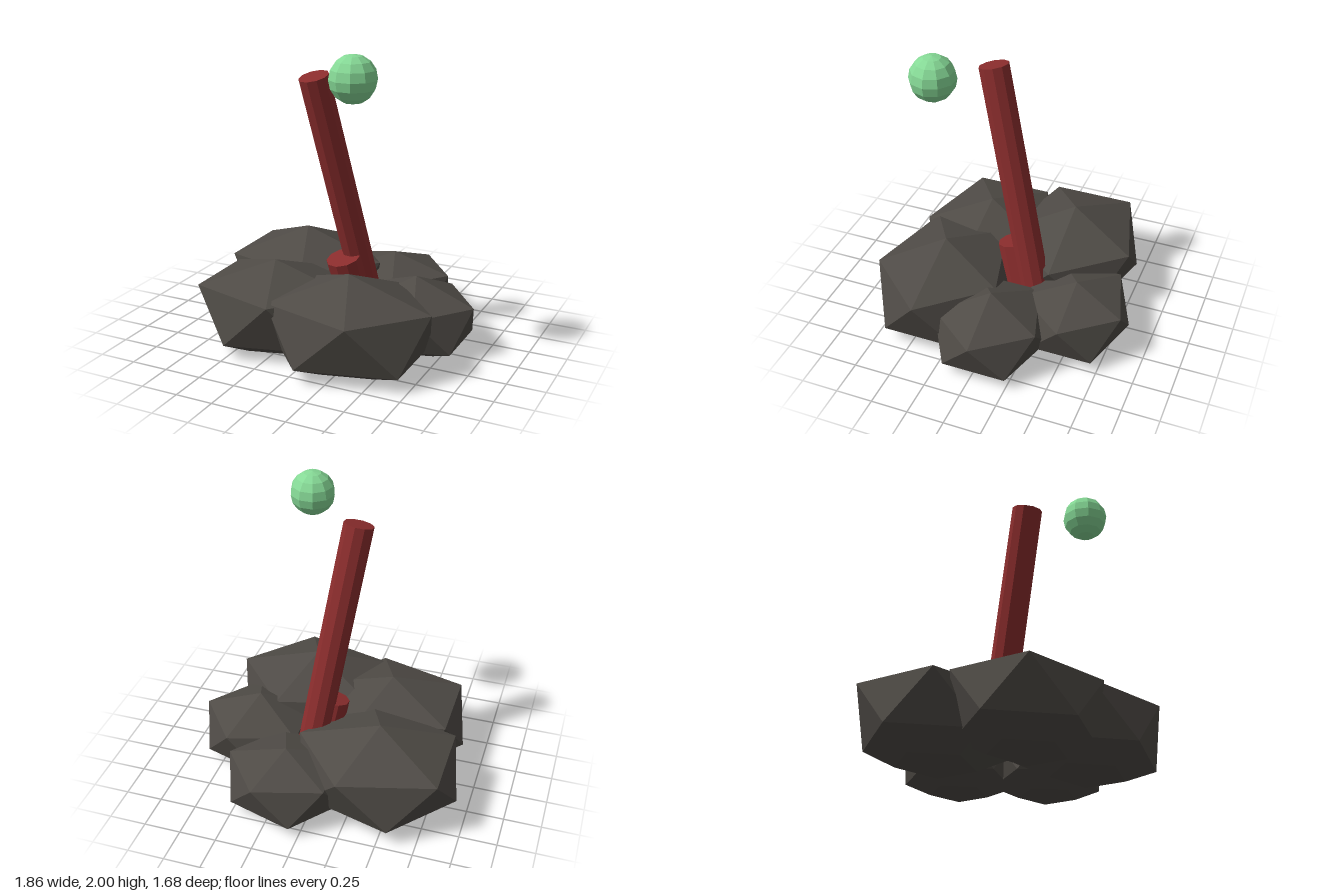
import * as THREE from 'three';

const flat = (name, color) => {
  const m = new THREE.MeshStandardMaterial({ color, flatShading: true });
  m.name = name;
  return m;
};

// Squashed icosahedron sliced flat on the ground:
// apex, upper ring, lower ring turned by half a step, base ring
function rockGeometry(rx, rz, apexY, upperY, lowerY, taper) {
  const ring = (i, turn, k, y) => {
    const a = (i + turn) * Math.PI * 2 / 5;
    return [Math.cos(a) * rx * k, y, Math.sin(a) * rz * k];
  };
  const pos = [];
  const tri = (...corners) => corners.forEach((c) => pos.push(...c));
  for (let i = 0; i < 5; i++) {
    const [u0, u1] = [i, i + 1].map((j) => ring(j, 0, 1, upperY));
    const [l0, l1] = [i, i + 1].map((j) => ring(j, 0.5, taper, lowerY));
    const [b0, b1] = [i, i + 1].map((j) => ring(j, 0.5, 0.53, 0));
    tri([0, apexY, 0], u1, u0);
    tri(u0, u1, l0);
    tri(l0, u1, l1);
    tri(l0, l1, b0);
    tri(b0, l1, b1);
    tri([0, 0, 0], b0, b1);
  }
  const g = new THREE.BufferGeometry();
  g.setAttribute('position', new THREE.Float32BufferAttribute(pos, 3));
  g.computeVertexNormals();
  return g;
}

// Ten-sided cylinder between two end centres
function rod(name, bottom, top, radius, material) {
  const a = new THREE.Vector3(...bottom), b = new THREE.Vector3(...top);
  const dir = b.clone().sub(a);
  const mesh = new THREE.Mesh(new THREE.CylinderGeometry(radius, radius, dir.length(), 10), material);
  mesh.position.copy(a).add(b).multiplyScalar(0.5);
  mesh.quaternion.setFromUnitVectors(new THREE.Vector3(0, 1, 0), dir.normalize());
  mesh.name = name;
  return mesh;
}

export function createModel() {
  const group = new THREE.Group();
  const stone = flat('stone', 0x4f4b46);
  const red = flat('red', 0x8b2d2d);
  const green = flat('green', 0x86d996);

  // Ring of boulders: name, x, z, rx, rz, apex, upper ring, lower ring, taper
  [
    ['backLeftRock', -0.4, -0.29, 0.555, 0.47, 0.62, 0.43, 0.11, 0.96],
    ['backRock', 0.18, -0.5, 0.4, 0.36, 0.45, 0.33, 0.08, 1],
    ['rightRock', 0.53, -0.03, 0.4, 0.37, 0.49, 0.33, 0.08, 1],
    ['frontRightRock', 0.25, 0.41, 0.56, 0.45, 0.61, 0.43, 0.1, 1],
    ['frontLeftRock', -0.33, 0.31, 0.54, 0.45, 0.58, 0.42, 0.1, 0.97],
  ].forEach(([name, x, z, ...shape]) => {
    const rock = new THREE.Mesh(rockGeometry(...shape), stone);
    rock.position.set(x, 0, z);
    rock.name = name;
    group.add(rock);
  });

  // Leaning post and the broken stump beside it
  group.add(rod('post', [0.112, 0.21, -0.195], [-0.1, 1.795, 0.19], 0.1, red));
  group.add(rod('stump', [0.065, 0.21, -0.085], [0.015, 0.545, 0.0], 0.118, red));

  // Floating ball
  const ball = new THREE.Mesh(new THREE.SphereGeometry(0.15, 10, 8), green);
  ball.position.set(0.285, 1.85, 0.43);
  ball.name = 'ball';
  group.add(ball);

  return group;
}
